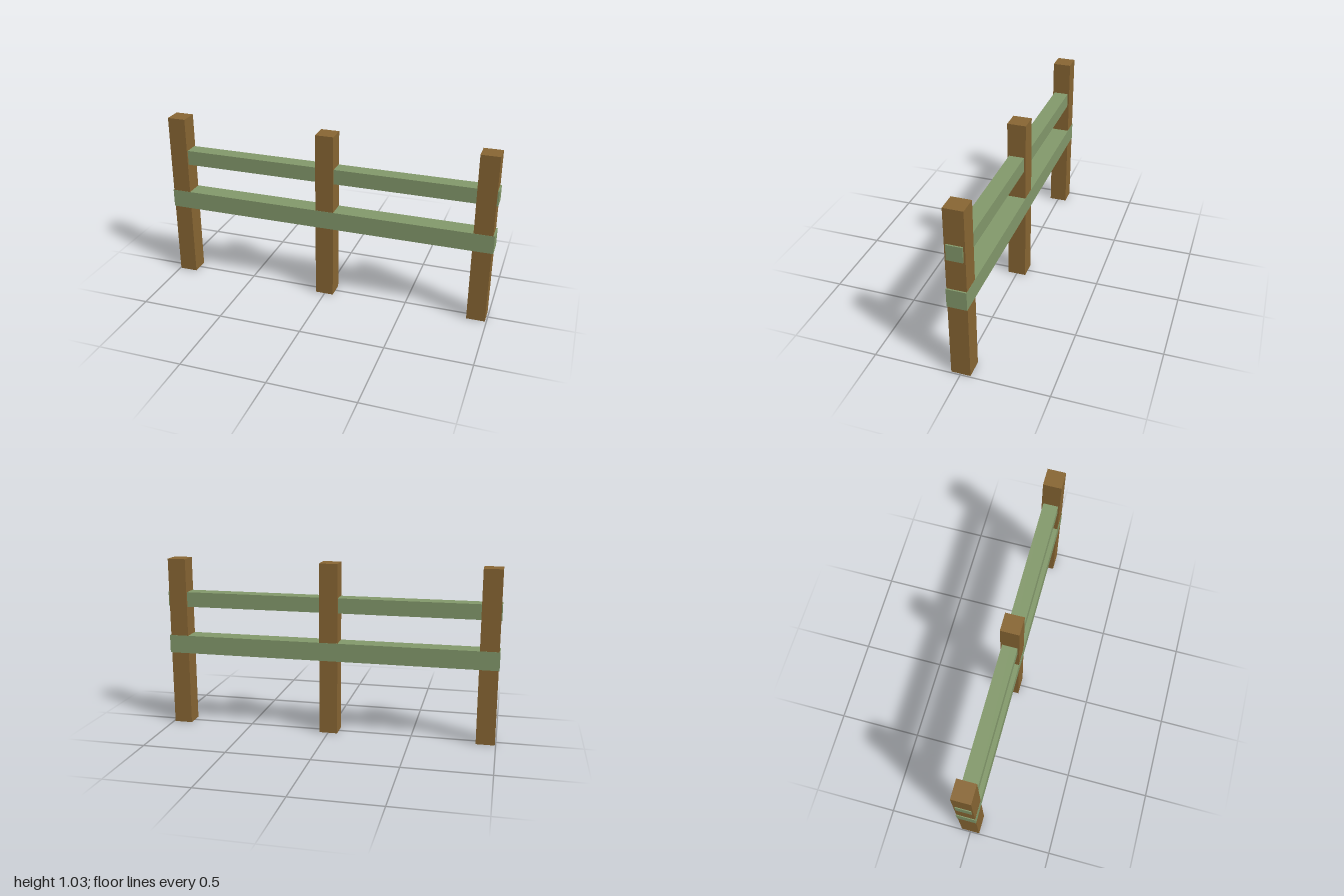
import * as THREE from 'three';

export function createModel() {
  const group = new THREE.Group();
  const wood = new THREE.MeshStandardMaterial({ color: 0x886633, flatShading: true });
  const paint = new THREE.MeshStandardMaterial({ color: 0x83996b, flatShading: true });

  const addBox = (name, material, size, position) => {
    const mesh = new THREE.Mesh(new THREE.BoxGeometry(...size), material);
    mesh.name = name;
    mesh.position.set(...position);
    group.add(mesh);
  };

  // Three evenly spaced square posts
  const postHeight = 1.032;
  ['rightPost', 'middlePost', 'leftPost'].forEach((name, i) =>
    addBox(name, wood, [0.11, postHeight, 0.11], [-0.002 + (i - 1) * 0.938, postHeight / 2, 0]));

  // Slim upper rail runs through the posts; the lower rail is flush with their faces
  addBox('upperRail', paint, [2, 0.09, 0.09], [0, 0.785, 0]);
  addBox('lowerRail', paint, [2, 0.11, 0.112], [0, 0.505, 0]);

  return group;
}
